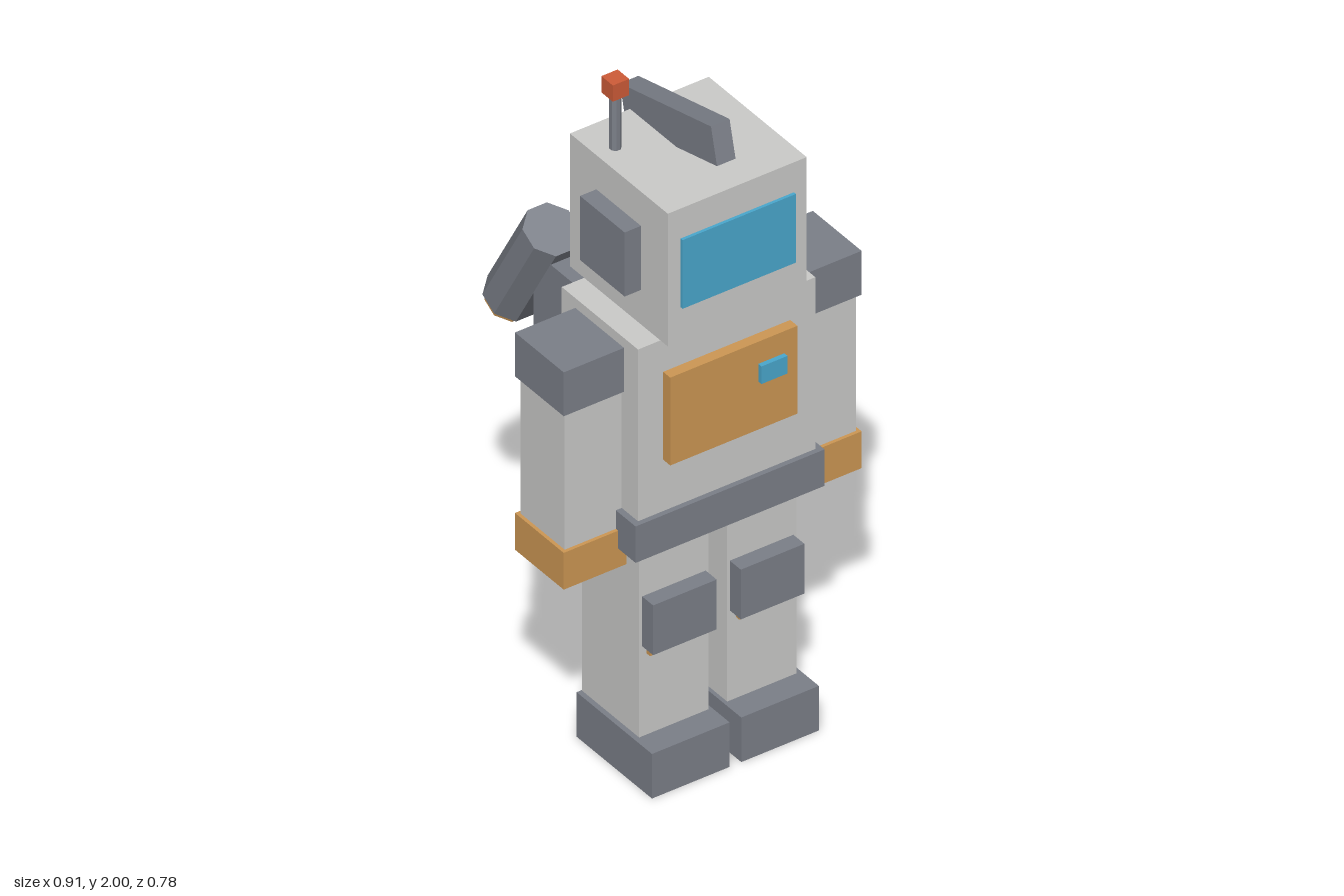
import * as THREE from 'three';

const flat = (name, color) => {
  const m = new THREE.MeshStandardMaterial({ color });
  m.name = name;
  return m;
};

export function createModel() {
  const lightGrey = flat('lightGrey', 0xcccccA);
  const darkGrey = flat('darkGrey', 0x7c8089);
  const orange = flat('orange', 0xce9854);
  const blue = flat('blue', 0x4aa8ce);
  const red = flat('red', 0xcf5c38);

  const model = new THREE.Group();
  model.name = 'robot';

  const add = (name, geometry, material, parent = model) => {
    const mesh = new THREE.Mesh(geometry, material);
    mesh.name = name;
    parent.add(mesh);
    return mesh;
  };

  // Box given by its extents along x, y and z
  const box = (name, material, [x0, x1], [y0, y1], [z0, z1], parent = model) => {
    const mesh = add(name, new THREE.BoxGeometry(x1 - x0, y1 - y0, z1 - z0), material, parent);
    mesh.position.set((x0 + x1) / 2, (y0 + y1) / 2, (z0 + z1) / 2);
    return mesh;
  };

  // Eight-sided prism with flats facing the axes; apothem is half its width
  const octagon = (apothem, height) =>
    new THREE.CylinderGeometry(apothem / Math.cos(Math.PI / 8), apothem / Math.cos(Math.PI / 8), height, 8)
      .rotateY(Math.PI / 8)
      .toNonIndexed();
  const prism = (name, material, apothem, height, parent = model) => {
    const geometry = octagon(apothem, height);
    geometry.computeVertexNormals();
    return add(name, geometry, material, parent);
  };

  // Head with visor, crest and antenna
  box('head', lightGrey, [-0.213, 0.213], [1.377, 1.785], [-0.045, 0.381]);
  box('visor', blue, [-0.174, 0.174], [1.482, 1.693], [0.38, 0.39]);
  box('neck', darkGrey, [-0.1, 0.1], [1.36, 1.38], [0.07, 0.27]);
  const crest = add('crest', new THREE.BoxGeometry(0.057, 0.11, 0.408), darkGrey);
  crest.position.set(0, 1.833, 0.122);
  crest.rotation.x = -0.24;
  prism('antennaRod', darkGrey, 0.015, 0.18).position.set(-0.155, 1.87, 0.07);
  box('antennaTip', red, [-0.18, -0.13], [1.95, 2.0], [0.045, 0.095]);

  // Torso, belt and chest panel
  box('torso', lightGrey, [-0.272, 0.272], [0.83, 1.365], [0.003, 0.335]);
  box('belt', darkGrey, [-0.29, 0.29], [0.725, 0.837], [-0.01, 0.35]);
  box('chestPanel', orange, [-0.195, 0.195], [0.995, 1.265], [0.33, 0.366]);
  box('chestLight', blue, [0.075, 0.155], [1.143, 1.197], [0.36, 0.38]);

  // Backpack
  box('backpack', darkGrey, [-0.223, 0.223], [0.802, 1.345], [-0.19, 0.003]);
  box('backpackLight', blue, [-0.058, 0.058], [1.24, 1.29], [-0.205, -0.185]);

  // Paired parts
  for (const [side, s] of [['left', 1], ['right', -1]]) {
    const half = new THREE.Group();
    half.name = `${side}Side`;
    model.add(half);
    const pair = (name, material, [a, b], y, z) =>
      box(name, material, s > 0 ? [a, b] : [-b, -a], y, z, half);

    pair('ear', darkGrey, [0.21, 0.263], [1.483, 1.68], [0.07, 0.264]);

    // Arm
    pair('shoulder', darkGrey, [0.264, 0.457], [1.2, 1.335], [0.062, 0.274]);
    pair('arm', lightGrey, [0.268, 0.447], [0.775, 1.205], [0.072, 0.264]);
    pair('hand', orange, [0.264, 0.457], [0.667, 0.78], [0.062, 0.274]);

    // Leg
    pair('leg', lightGrey, [0.029, 0.241], [0.13, 0.73], [0.047, 0.296]);
    pair('foot', darkGrey, [0.018, 0.256], [0, 0.137], [0.045, 0.373]);
    pair('kneePad', darkGrey, [0.037, 0.232], [0.414, 0.567], [0.29, 0.344]);
    pair('kneeTrim', orange, [0.056, 0.218], [0.386, 0.42], [0.29, 0.311]);

    // Upright tank behind the backpack
    prism('tank', darkGrey, 0.064, 0.43, half).position.set(s * 0.127, 1.075, -0.199);

    // Tilted thruster with nozzle
    const thruster = new THREE.Group();
    thruster.name = 'thruster';
    thruster.position.set(s * 0.193, 1.268, -0.241);
    thruster.rotation.x = Math.PI / 6;
    half.add(thruster);
    prism('thrusterBody', darkGrey, 0.071, 0.348, thruster);
    prism('nozzle', orange, 0.058, 0.05, thruster).position.y = -0.177;
  }

  return model;
}
